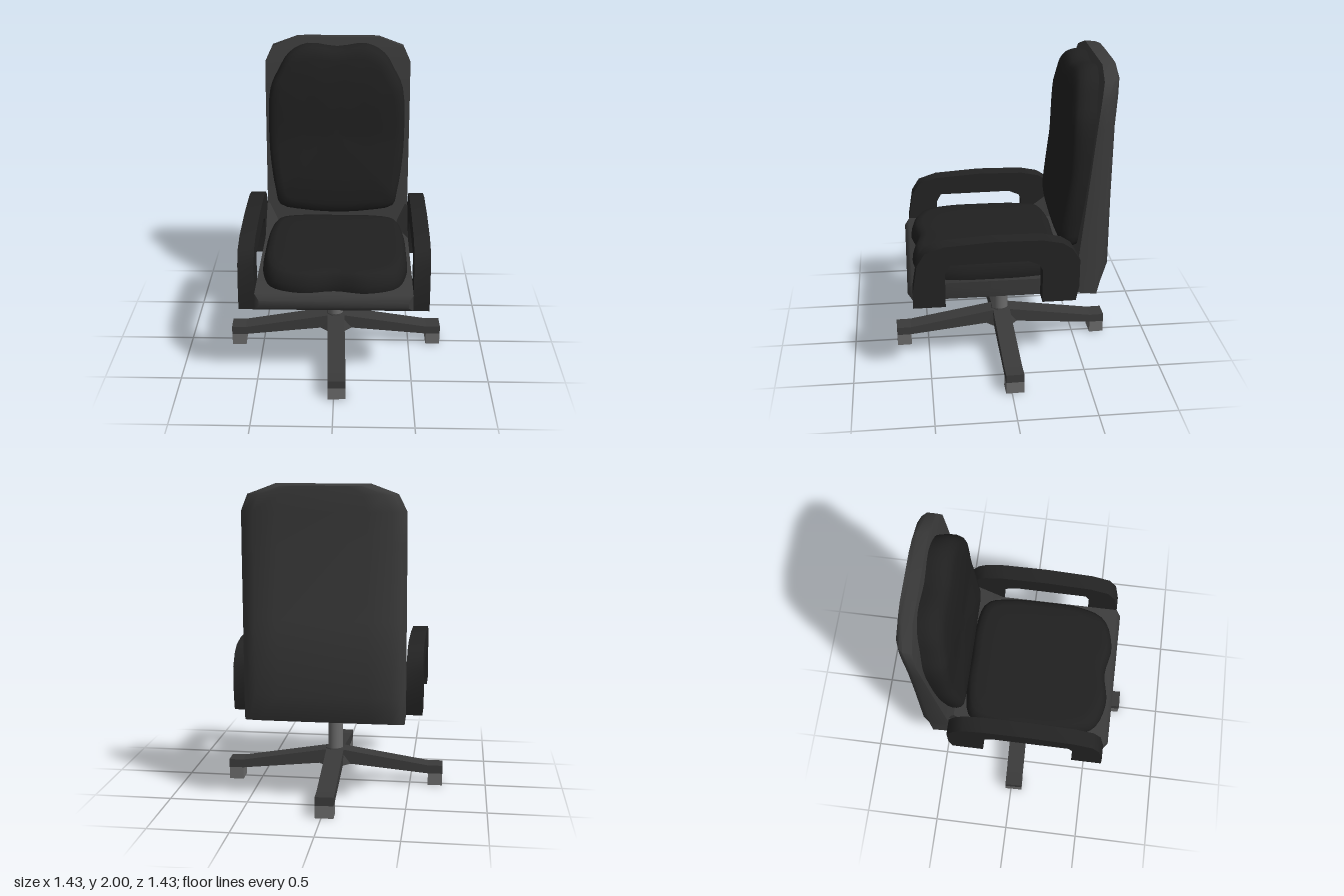
import * as THREE from 'three';
import { toCreasedNormals } from 'three/addons/utils/BufferGeometryUtils.js';

const mat = (name, color) => {
  const m = new THREE.MeshStandardMaterial({ color });
  m.name = name;
  return m;
};

// Skin a stack of closed rings of equal length and cap both ends.
function loft(rings, crease) {
  const n = rings[0].length, pts = rings.flat(), idx = [];
  for (let r = 0; r < rings.length - 1; r++)
    for (let i = 0; i < n; i++) {
      const a = r * n + i, b = r * n + (i + 1) % n;
      idx.push(a, b, b + n, a, b + n, a + n);
    }
  const cap = (start, flip) => {
    const c = new THREE.Vector3();
    for (let i = 0; i < n; i++) c.addScaledVector(pts[start + i], 1 / n);
    const ci = pts.push(c) - 1;
    for (let i = 0; i < n; i++) {
      const a = start + i, b = start + (i + 1) % n;
      idx.push(ci, flip ? b : a, flip ? a : b);
    }
  };
  const last = (rings.length - 1) * n;
  cap(0, true);
  cap(last, false);
  // Turn the faces outward if the enclosed volume comes out negative
  let volume = 0;
  for (let i = 0; i < idx.length; i += 3)
    volume += pts[idx[i]].dot(pts[idx[i + 1]].clone().cross(pts[idx[i + 2]]));
  if (volume < 0) idx.reverse();
  const g = new THREE.BufferGeometry().setFromPoints(pts);
  g.setIndex(idx);
  return toCreasedNormals(g, crease);
}

// Side profile in (z, y), extruded across x and centred.
function sideExtrude(profile, width) {
  const shape = new THREE.Shape(profile.map(p => new THREE.Vector2(...p)));
  const g = new THREE.ExtrudeGeometry(shape, { depth: width, bevelEnabled: false });
  return g.rotateY(-Math.PI / 2).translate(width / 2, 0, 0);
}

// Puffy cushion: half outline mirrored, then shrunk in rings [scale, lift].
function cushion(half, centre, rings, place) {
  const mirror = half.slice(1, -1).reverse().map(([u, v]) => [-u, v]);
  const curve = new THREE.CatmullRomCurve3(
    [...half, ...mirror].map(([u, v]) => new THREE.Vector3(u, v, 0)), true, 'centripetal');
  const outline = curve.getPoints(60).slice(0, -1);
  return loft(rings.map(([s, h]) => outline.map(p =>
    place(p.x * s, centre + (p.y - centre) * s, h))), 1.2);
}

// Piecewise linear lookup in a table of [key, value]
function lookup(table, k) {
  for (let i = 1; i < table.length; i++) {
    const [a, va] = table[i - 1], [b, vb] = table[i];
    if (k <= b) return va + (vb - va) * Math.max(0, (k - a) / (b - a));
  }
  return table[table.length - 1][1];
}

export function createModel() {
  const chair = new THREE.Group();
  chair.name = 'officeChair';
  const shellMat = mat('charcoal shell', 0x3a3a3a);
  const cushionMat = mat('black upholstery', 0x202020);
  const armMat = mat('black armrest', 0x232323);
  const metalMat = mat('grey metal', 0x6a6a6a);
  const add = (name, geo, material, parent = chair) => {
    const m = new THREE.Mesh(geo, material);
    m.name = name;
    parent.add(m);
  };

  // Four-legged base with square feet
  const base = new THREE.Group();
  base.name = 'base';
  base.rotation.y = 0.027;
  chair.add(base);
  const legProfile = [[0, 0.13], [0.1, 0.13], [0.62, 0.08], [0.715, 0.08],
    [0.715, 0.135], [0.62, 0.135], [0.06, 0.225], [0, 0.225]];
  for (let i = 0; i < 4; i++) {
    const leg = new THREE.Group();
    leg.name = 'legAssembly';
    leg.rotation.y = i * Math.PI / 2;
    base.add(leg);
    add('leg', sideExtrude(legProfile, 0.115), shellMat, leg);
    add('foot', new THREE.BoxGeometry(0.115, 0.08, 0.095).translate(0, 0.04, 0.667), metalMat, leg);
  }
  const hub = new THREE.CylinderGeometry(0.065, 0.125, 0.1, 8).rotateY(Math.PI / 8).translate(0, 0.18, 0);
  add('hub', toCreasedNormals(hub, 0.3), shellMat, base);
  add('column', new THREE.CylinderGeometry(0.05, 0.05, 0.4, 20).translate(0, 0.39, 0), metalMat);

  // Seat pan with a chamfered front lip: rings of [z, half width, bottom, top]
  const panRings = [[-0.43, 0.49, 0.58, 0.69], [0.6, 0.49, 0.58, 0.69], [0.63, 0.46, 0.615, 0.655]]
    .map(([z, w, b, t]) => [[w, b], [w, t], [-w, t], [-w, b]].map(([x, y]) => new THREE.Vector3(x, y, z)));
  add('seatPan', loft(panRings, 0.9), shellMat);

  // Back shell: rows of [y, half width, front z, back z, side z]
  const rows = [[0.57, 0.49, -0.4, -0.57, -0.56], [0.74, 0.49, -0.43, -0.65, -0.57],
    [1.2, 0.49, -0.478, -0.65, -0.57], [1.66, 0.49, -0.525, -0.655, -0.575],
    [1.84, 0.488, -0.545, -0.668, -0.58], [1.94, 0.44, -0.565, -0.675, -0.62],
    [1.995, 0.28, -0.58, -0.675, -0.645]];
  const shellRings = rows.map(([y, w, zf, zb, zs], i) => {
    const right = [[w, zf], [w, zs], [0.94 * w, (zs + zb) / 2], [0.83 * w, zb * 0.86 + zs * 0.14], [0.55 * w, zb]];
    const left = right.map(([x, z]) => [-x, z]).reverse();
    // The underside falls, and the top edge drops, slightly towards the back
    const drop = z => i === 0 ? 0.01 - 0.02 * (zf - z) / (zf - zb)
      : i === rows.length - 1 ? 0.005 - 0.01 * (zf - z) / (zf - zb) : 0;
    return [...right, ...left].map(([x, z]) => new THREE.Vector3(x, y + drop(z), z));
  });
  add('backShell', loft(shellRings, 1.0), shellMat);

  // Corner gussets rising from the pan towards the shell
  for (const s of [1, -1]) {
    const ring = (y, z, x) => [[0.49, z], [0.49, -0.43], [x, -0.43]].map(([px, pz]) =>
      new THREE.Vector3(px * s, y, pz));
    add('gusset', loft([ring(0.68, -0.19, 0.4), ring(0.85, -0.41, 0.475)], 0.3), shellMat);
  }

  // Armrests, open at the bottom
  const armProfile = [[0.6, 0.58], [0.6, 0.68], [0.57, 0.87], [0.52, 0.95], [0.4, 0.99], [0.1, 1.01],
    [-0.2, 1.005], [-0.32, 0.98], [-0.38, 0.94], [-0.43, 0.86], [-0.43, 0.68], [-0.41, 0.58],
    [-0.2, 0.58], [-0.2, 0.8], [-0.18, 0.84], [-0.11, 0.87], [0.37, 0.865], [0.4, 0.81], [0.4, 0.58]];
  for (const s of [1, -1])
    add(s > 0 ? 'leftArmrest' : 'rightArmrest',
      toCreasedNormals(sideExtrude(armProfile, 0.1).translate(0.54 * s, 0, 0), 0.9), armMat);

  // Seat cushion: outline in (x, z), lifted along y
  const seatHalf = [[0, 0.56], [0.2, 0.59], [0.39, 0.52], [0.455, 0.35], [0.465, 0.1],
    [0.455, -0.15], [0.41, -0.31], [0.22, -0.36], [0, -0.36]];
  add('seatCushion', cushion(seatHalf, 0.1,
    [[0.98, 0.67], [1, 0.7], [0.99, 0.74], [0.965, 0.78], [0.92, 0.808], [0.84, 0.817], [0.5, 0.81], [0.15, 0.806]],
    (x, z, y) => new THREE.Vector3(x, y, z)), cushionMat);

  // Back cushion: outline in (x, y), puffed out from the shell towards the front
  const backHalf = [[0, 1.95], [0.2, 1.97], [0.32, 1.91], [0.39, 1.8], [0.445, 1.68], [0.46, 1.4],
    [0.45, 1.18], [0.42, 0.97], [0.39, 0.86], [0.22, 0.82], [0, 0.805]];
  const frontZ = [[0.8, -0.345], [0.98, -0.33], [1.35, -0.38], [1.7, -0.39], [1.92, -0.42], [2, -0.45]];
  const shellZ = [[0.8, -0.45], [1.84, -0.56], [2, -0.59]];
  add('backCushion', cushion(backHalf, 1.38,
    [[0.98, 0], [1, 0.35], [1, 0.6], [0.98, 0.82], [0.94, 0.95], [0.86, 1], [0.5, 1], [0.15, 1]],
    (x, y, t) => new THREE.Vector3(x - 0.006, y,
      THREE.MathUtils.lerp(lookup(shellZ, y), lookup(frontZ, y), t))), cushionMat);

  return chair;
}
